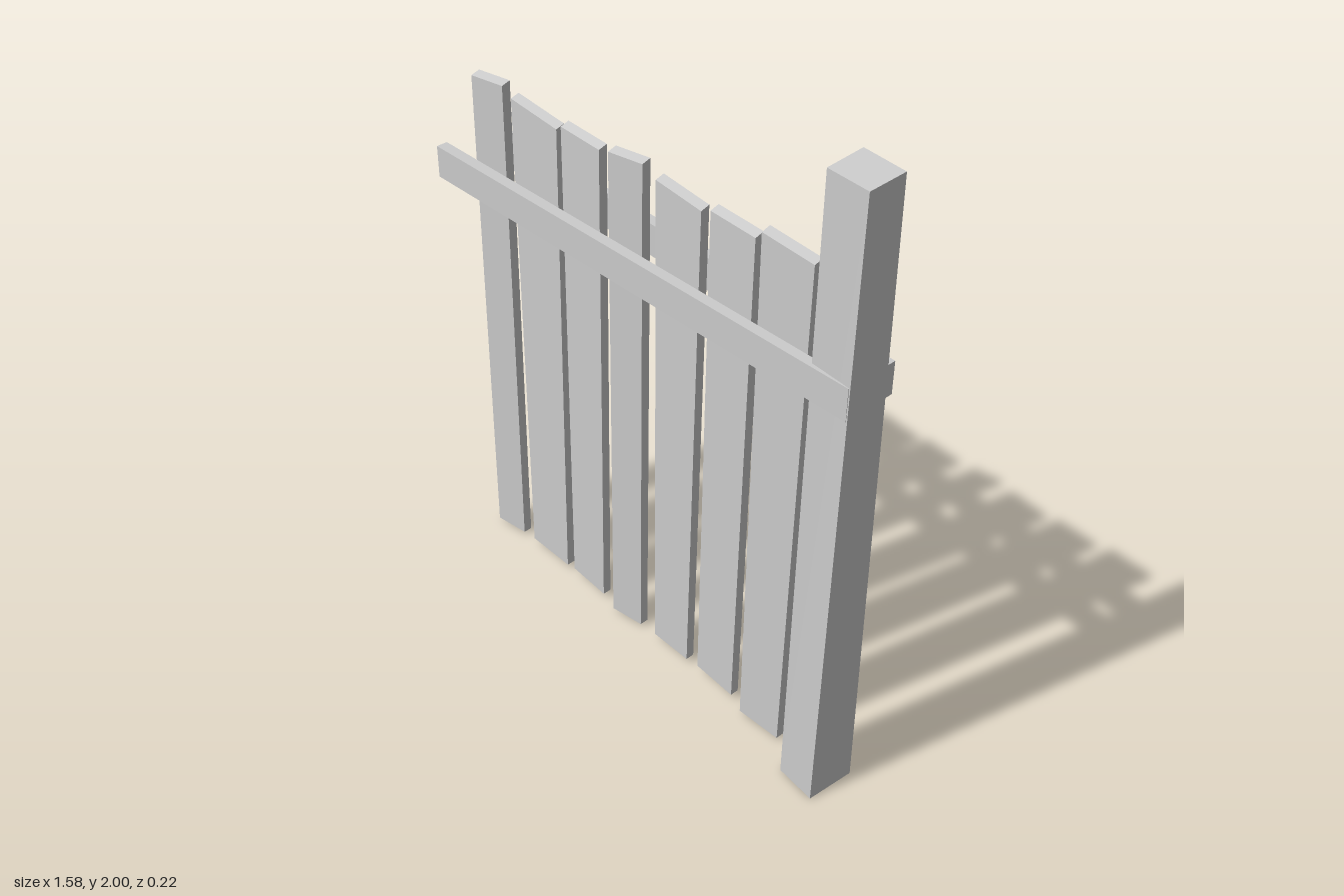
import * as THREE from 'three';

const material = new THREE.MeshStandardMaterial({ color: 0xcccccc, flatShading: true });

// Hand-hewn beam: a box whose corners go to the given [x, y, z] points.
// Each ring runs back-left, back-right, front-right, front-left.
function beam(name, bottom, top) {
  const geo = new THREE.BoxGeometry(1, 1, 1);
  const p = geo.attributes.position;
  for (let i = 0; i < p.count; i++) {
    const ring = p.getY(i) > 0 ? top : bottom;
    const right = p.getX(i) > 0;
    const corner = p.getZ(i) > 0 ? (right ? 2 : 3) : (right ? 1 : 0);
    p.setXYZ(i, ...ring[corner]);
  }
  geo.computeVertexNormals();
  const mesh = new THREE.Mesh(geo, material);
  mesh.name = name;
  return mesh;
}

// Plank ring: x range, left/right heights, left/right back z, thickness, front drop
function ring(x0, x1, y0, y1, z0, z1, t, drop) {
  return [[x0, y0, z0], [x1, y1, z1], [x1, y1 - drop, z1 + t], [x0, y0 - drop, z0 + t]];
}

export function createModel() {
  const group = new THREE.Group();

  // Gate post, tapering slightly and turned a little
  group.add(beam('post',
    [[0.65, 0, -0.07], [0.785, 0, -0.057], [0.772, 0, 0.095], [0.643, 0, 0.083]],
    [[0.65, 2, -0.042], [0.785, 2, -0.032], [0.775, 1.988, 0.075], [0.643, 1.988, 0.068]]));

  // Two rails, closing in towards the post
  for (const s of [1, -1]) {
    const rails = [1.357, 1.457].map((y) => {
      const outerL = s * 0.108, innerL = s * 0.073, outerR = s * 0.082, innerR = s * 0.052;
      return [
        [-0.795, y, Math.min(outerL, innerL)], [0.77, y, Math.min(outerR, innerR)],
        [0.77, y, Math.max(outerR, innerR)], [-0.795, y, Math.max(outerL, innerL)],
      ];
    });
    group.add(beam(s > 0 ? 'frontRail' : 'backRail', rails[0], rails[1]));
  }

  // Uneven planks: bottom x range, top x range, bottom y, top y left/right, back z left/right
  const planks = [
    [-0.75, -0.638, -0.747, -0.63, 0.01, 1.672, 1.677, -0.023, -0.04],
    [-0.582, -0.41, -0.59, -0.395, 0.02, 1.655, 1.638, -0.038, -0.038],
    [-0.378, -0.225, -0.378, -0.213, 0.025, 1.653, 1.653, -0.04, -0.033],
    [-0.167, -0.056, -0.165, -0.05, 0.01, 1.672, 1.677, -0.023, -0.04],
    [0.012, 0.157, 0.003, 0.172, 0.02, 1.655, 1.638, -0.038, -0.038],
    [0.203, 0.357, 0.203, 0.368, 0.025, 1.653, 1.653, -0.04, -0.033],
    [0.41, 0.558, 0.402, 0.572, 0.01, 1.693, 1.678, -0.018, -0.024],
  ];
  planks.forEach(([b0, b1, t0, t1, by, yl, yr, zl, zr], i) => {
    group.add(beam(`plank${i + 1}`,
      ring(b0, b1, by, by, zl + 0.008, zr + 0.008, 0.028, 0),
      ring(t0, t1, yl, yr, zl, zr, 0.028, 0.008)));
  });

  return group;
}
